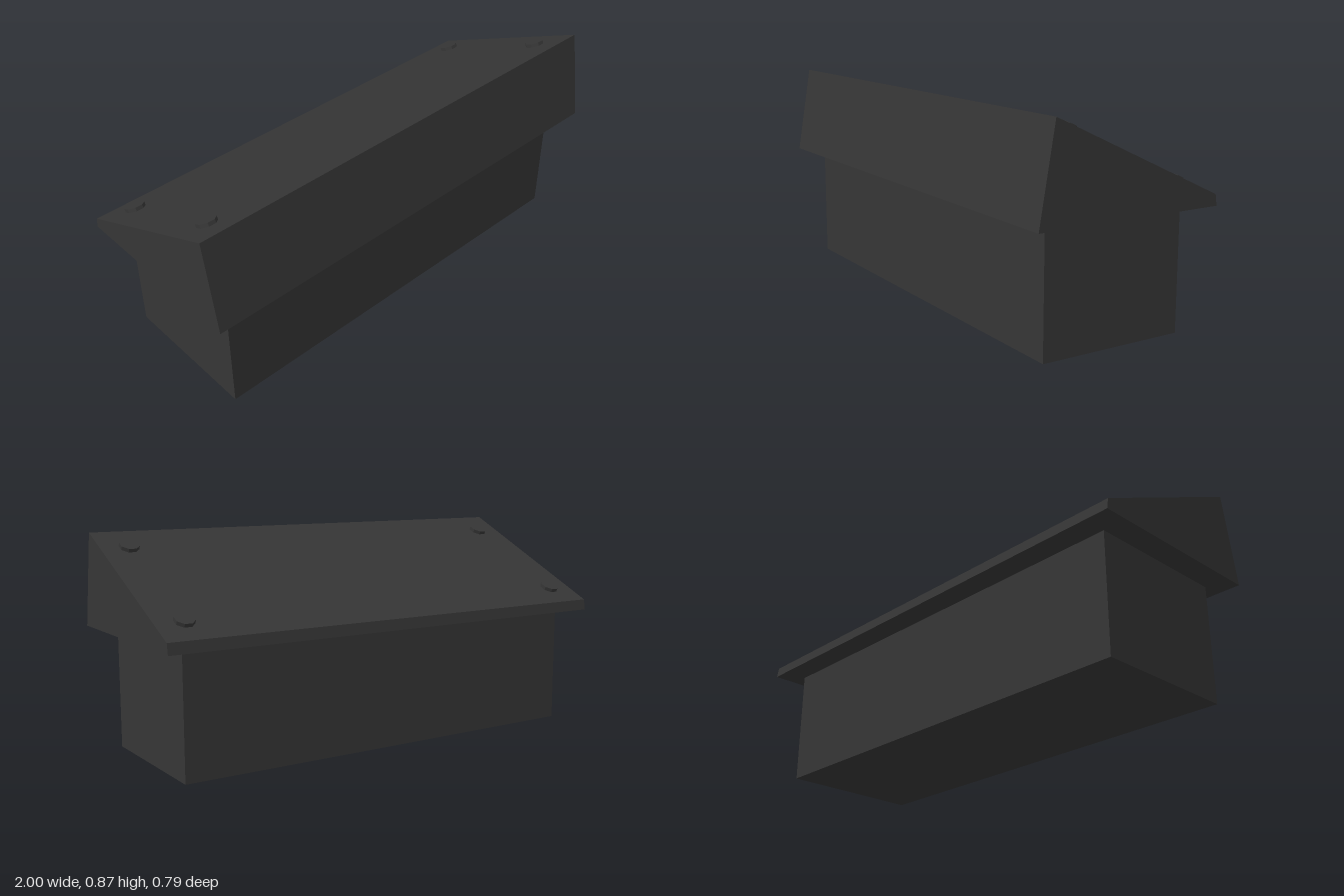
import * as THREE from 'three';

// Closed solid through stacked four-cornered rings, counter-clockwise seen from above
function loftRings(rings) {
  const points = [];
  const quad = (a, b, c, d) => points.push(...a, ...b, ...c, ...a, ...c, ...d);
  for (let r = 0; r < rings.length - 1; r++) {
    const low = rings[r], high = rings[r + 1];
    for (let i = 0; i < 4; i++) {
      const j = (i + 1) % 4;
      quad(low[i], low[j], high[j], high[i]);
    }
  }
  const top = rings[rings.length - 1];
  quad(top[0], top[1], top[2], top[3]);
  const bottom = rings[0];
  quad(bottom[3], bottom[2], bottom[1], bottom[0]);
  const geometry = new THREE.BufferGeometry();
  geometry.setAttribute('position', new THREE.Float32BufferAttribute(points, 3));
  geometry.computeVertexNormals();
  return geometry;
}

// Ring of corners from half width and the front and back edges
const ring = (x, frontZ, frontY, backZ, backY) => [
  [x, frontY, frontZ], [x, backY, backZ], [-x, backY, backZ], [-x, frontY, frontZ],
];

export function createModel() {
  const model = new THREE.Group();
  model.name = 'console';
  const charcoal = new THREE.MeshStandardMaterial({ color: 0x363636, flatShading: true });
  charcoal.name = 'charcoal';

  // Pedestal
  const pedestal = new THREE.Mesh(new THREE.BoxGeometry(1.814, 0.49, 0.606), charcoal);
  pedestal.name = 'pedestal';
  pedestal.position.y = 0.245;
  model.add(pedestal);

  // Wedge-shaped head with a shallow tapered underside
  const front = { z: 0.33, y: 0.87 };
  const back = { z: -0.387, y: 0.538 };
  const head = new THREE.Mesh(loftRings([
    ring(0.907, 0.303, 0.487, -0.303, 0.487),
    ring(1, 0.394, 0.494, -0.394, 0.494),
    ring(1, front.z, front.y, back.z, back.y),
  ]), charcoal);
  head.name = 'slopedHead';
  model.add(head);

  // Four octagonal bolts standing on the slope
  const slope = (front.y - back.y) / (front.z - back.z);
  const boltGeometry = new THREE.CylinderGeometry(0.04, 0.04, 0.03, 8);
  boltGeometry.rotateY(Math.PI / 8);
  boltGeometry.rotateX(-Math.atan(slope));
  for (const [row, z] of [['front', 0.21], ['back', -0.28]]) {
    for (const [side, x] of [['Left', 0.885], ['Right', -0.885]]) {
      const bolt = new THREE.Mesh(boltGeometry, charcoal);
      bolt.name = `${row}${side}Bolt`;
      bolt.position.set(x, back.y + (z - back.z) * slope, z);
      model.add(bolt);
    }
  }
  return model;
}
